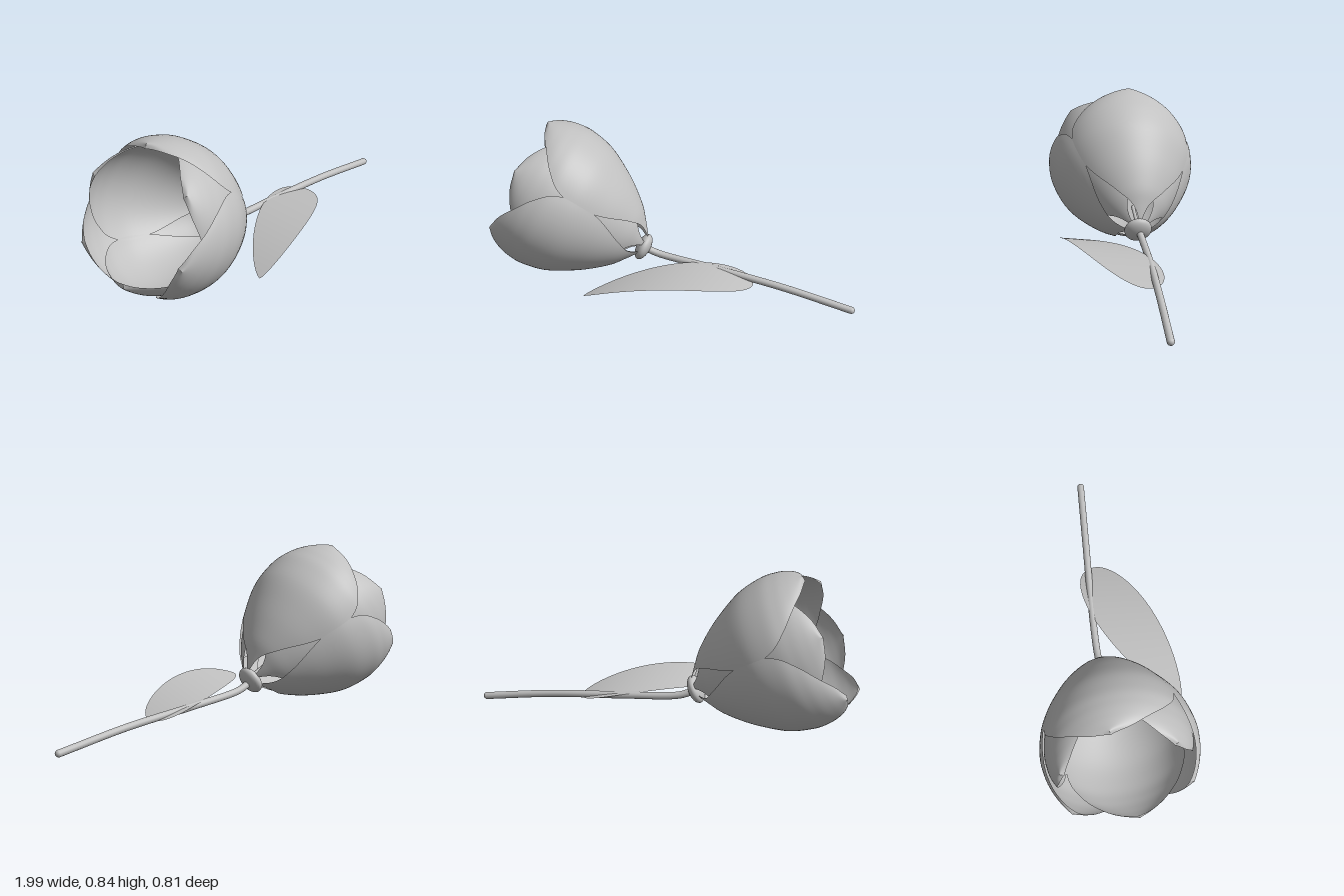
import * as THREE from 'three';

const V = (x, y, z) => new THREE.Vector3(x, y, z);
const clayGrey = new THREE.MeshStandardMaterial({ color: 0xc0c0c0, side: THREE.DoubleSide });

// Smooth sheet from a rule f(u, v), with u and v running 0..1
function sheet(f, nu, nv) {
  const geo = new THREE.PlaneGeometry(1, 1, nu, nv);
  const pos = geo.attributes.position;
  for (let i = 0; i < pos.count; i++) {
    const p = f(pos.getX(i) + 0.5, pos.getY(i) + 0.5);
    pos.setXYZ(i, p.x, p.y, p.z);
  }
  geo.computeVertexNormals();
  return geo;
}

// Flower frame: base point, axis, and the two directions across it
const base = V(-0.15, 0.19, -0.10);
const axis = V(-0.89, 0.42, 0.15).normalize();
const up = V(0, 1, 0).addScaledVector(axis, -axis.y).normalize();
const side = new THREE.Vector3().crossVectors(up, axis).normalize();
if (side.z < 0) side.negate();
const flowerPoint = (r, a, phi) => base.clone().addScaledVector(axis, a)
  .addScaledVector(side, r * Math.cos(phi)).addScaledVector(up, r * Math.sin(phi));

// Petal rows from claw to tip: radius, distance along the axis, half angle in degrees
const petalRows = new THREE.CatmullRomCurve3([
  [0.03, 0, 6], [0.115, 0.065, 20], [0.2, 0.14, 41], [0.305, 0.28, 58], [0.38, 0.42, 62],
  [0.408, 0.54, 58], [0.408, 0.63, 47], [0.395, 0.7, 32], [0.378, 0.75, 17], [0.368, 0.775, 0],
].map(([r, a, h]) => V(r, a, THREE.MathUtils.degToRad(h))));

// Petal: narrow claw, wide belly and rounded tip, the edges curling inwards
function petalGeometry(angle, radius, length, width) {
  const phi = THREE.MathUtils.degToRad(angle);
  return sheet((u, v) => {
    const row = petalRows.getPoint(v);
    const w = u * 2 - 1;
    const curl = 1 - 0.07 * w * w * v;
    return flowerPoint(row.x * radius * curl, row.y * length, phi + w * row.z * width);
  }, 28, 54);
}

export function createModel() {
  const model = new THREE.Group();
  const add = (name, geo, parent = model) => {
    const mesh = new THREE.Mesh(geo, clayGrey);
    mesh.name = name;
    parent.add(mesh);
    return mesh;
  };

  // Three outer petals and three inner ones between them
  const flower = new THREE.Group();
  flower.name = 'flower';
  model.add(flower);
  for (let i = 0; i < 3; i++) {
    add('outerPetal' + (i + 1), petalGeometry(98 + i * 120, 1, 1, 1), flower);
    add('innerPetal' + (i + 1), petalGeometry(38 + i * 120, 0.93, 1.02, 1), flower);
  }

  // Swollen base of the flower, and the pistil inside
  const toAxis = new THREE.Quaternion().setFromUnitVectors(V(0, 1, 0), axis);
  const receptacle = add('receptacle', new THREE.SphereGeometry(0.075, 28, 18), flower);
  receptacle.scale.y = 0.5;
  receptacle.quaternion.copy(toAxis);
  receptacle.position.copy(base).addScaledVector(axis, 0.02).add(V(0, -0.016, 0));
  const pistil = add('pistil', new THREE.CapsuleGeometry(0.01, 0.16, 6, 12), flower);
  pistil.quaternion.copy(toAxis);
  pistil.position.copy(base).addScaledVector(axis, 0.1);

  // Gently curved stem with a rounded end
  const path = new THREE.CatmullRomCurve3([
    V(-0.15, 0.17, -0.105), V(-0.08, 0.145, -0.12), V(0.2, 0.118, -0.15),
    V(0.6, 0.083, -0.18), V(0.98, 0.027, -0.208),
  ]);
  add('stem', new THREE.TubeGeometry(path, 48, 0.019, 14));
  const end = add('stemEnd', new THREE.SphereGeometry(0.019, 14, 10));
  end.position.copy(path.getPoint(1));

  // Arched leaf, blunt at the stem and pointed at the tip
  add('leaf', sheet((u, v) => {
    const t = (1 - Math.cos(v * Math.PI)) / 2;
    const off = (u * 2 - 1) * 0.32 * Math.pow(t, 0.45) * Math.pow(Math.max(0, 1 - t), 0.75);
    const x = 0.44 - 0.76 * t + 0.55 * off;
    const z = -0.17 + 0.495 * t + 0.835 * off;
    return V(x, 0.155 - 0.49 * (x - 0.06) ** 2 + 0.1 * off, z);
  }, 16, 36));

  return model;
}
